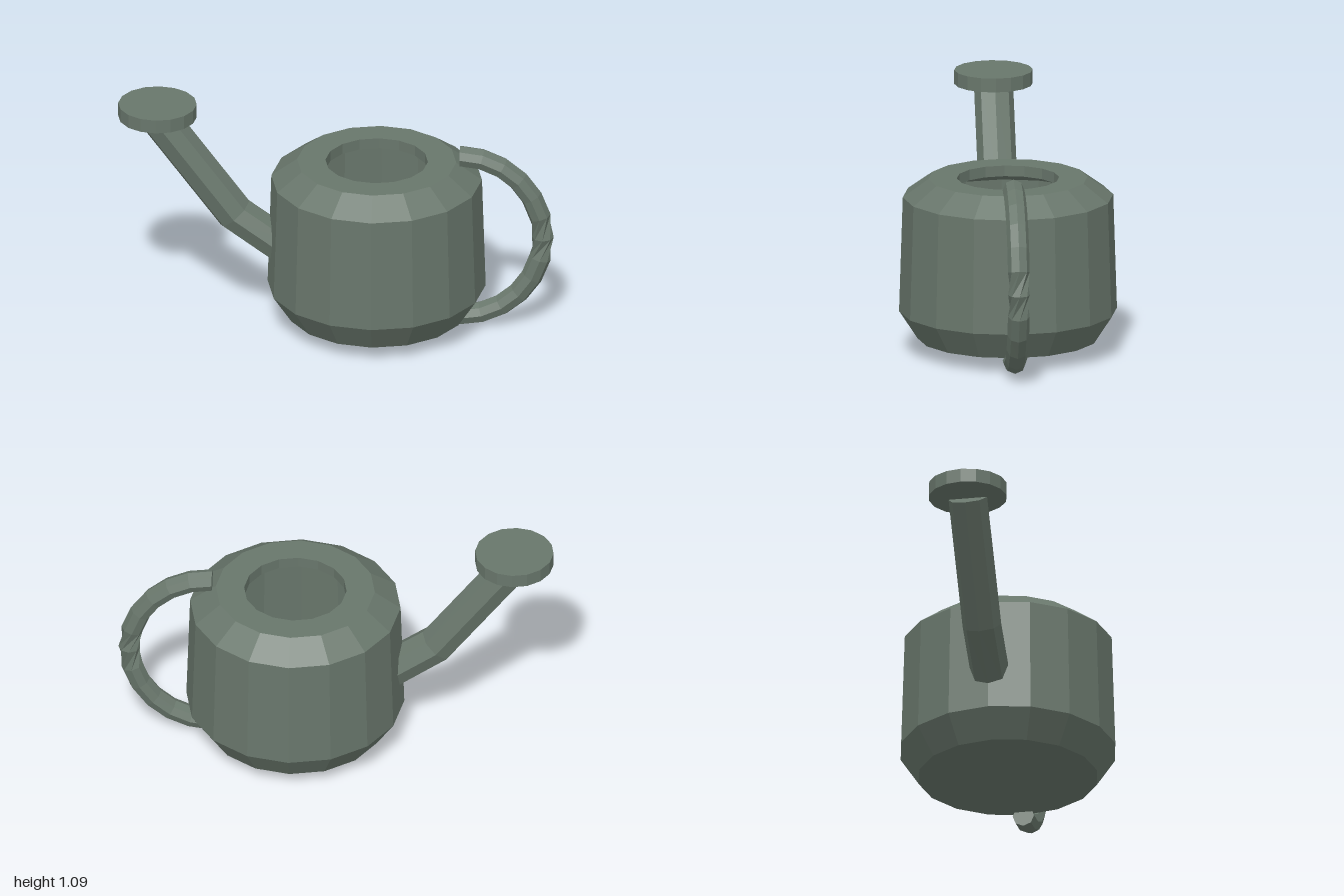
import * as THREE from 'three';

// Split faces so every facet shades flat
function facet(geometry) {
  const g = geometry.index ? geometry.toNonIndexed() : geometry;
  g.computeVertexNormals();
  return g;
}

// Eight-sided tube in the x-y plane with closed ends.
// Each section is { x, y, nx, ny, twist }, where n points to the ring's first corner.
function sweep(sections, radius, sides = 8) {
  const pos = [], index = [];
  for (const { x, y, nx, ny, twist = 0 } of sections) {
    const len = Math.hypot(nx, ny);
    for (let j = 0; j < sides; j++) {
      const a = (j / sides) * Math.PI * 2 + twist;
      const c = (radius * Math.cos(a)) / len;
      pos.push(x + c * nx, y + c * ny, radius * Math.sin(a));
    }
  }
  const last = (sections.length - 1) * sides;
  for (let r = 0; r < last; r += sides) {
    for (let j = 0; j < sides; j++) {
      const k = (j + 1) % sides;
      index.push(r + j, r + k, r + sides + j, r + k, r + sides + k, r + sides + j);
    }
  }
  for (let j = 1; j < sides - 1; j++) {
    index.push(0, j + 1, j, last, last + j, last + j + 1);
  }
  const g = new THREE.BufferGeometry();
  g.setAttribute('position', new THREE.Float32BufferAttribute(pos, 3));
  g.setIndex(index);
  return facet(g);
}

export function createModel() {
  const group = new THREE.Group();
  const paint = new THREE.MeshStandardMaterial({ color: 0x68766b });
  paint.name = 'grey green paint';

  const add = (name, geometry, x = 0, y = 0) => {
    const mesh = new THREE.Mesh(geometry, paint);
    mesh.name = name;
    mesh.position.set(x, y, 0);
    group.add(mesh);
  };

  // Hollow body: outer wall upwards, through the opening, inner wall back down
  const profile = [
    [0, 0.07], [0.415, 0.07], [0.5, 0.2], [0.483, 0.735], [0.365, 0.82], [0.235, 0.82],
    [0.235, 0.77], [0.345, 0.77], [0.434, 0.706], [0.45, 0.21], [0.385, 0.12], [0, 0.12],
  ].map(([r, y]) => new THREE.Vector2(r, y));
  add('body', facet(new THREE.LatheGeometry(profile, 16)), 0.185);

  // Bent spout
  add('spout', sweep([
    { x: -0.24, y: 0.377, nx: -0.59, ny: -0.81 },
    { x: -0.465, y: 0.54, nx: -0.735, ny: -0.678 },
    { x: -0.818, y: 1.019, nx: -0.803, ny: -0.596 },
  ], 0.09));

  // Sprinkler disc on the spout
  add('sprinklerHead', facet(new THREE.CylinderGeometry(0.18, 0.18, 0.065, 16)), -0.82, 1.053);

  // Half-round handle, with a half twist around its middle
  const arc = [];
  const steps = 12;
  for (let i = 0; i <= steps; i++) {
    const t = Math.PI * (0.5 - i / steps);
    const nx = Math.cos(t), ny = Math.sin(t);
    const twist = i < 6 ? 0 : i === 6 ? Math.PI / 2 : Math.PI;
    arc.push({ x: 0.567 + 0.38 * nx, y: 0.452 + 0.402 * ny, nx, ny, twist });
  }
  add('handle', sweep(arc, 0.05));

  return group;
}
